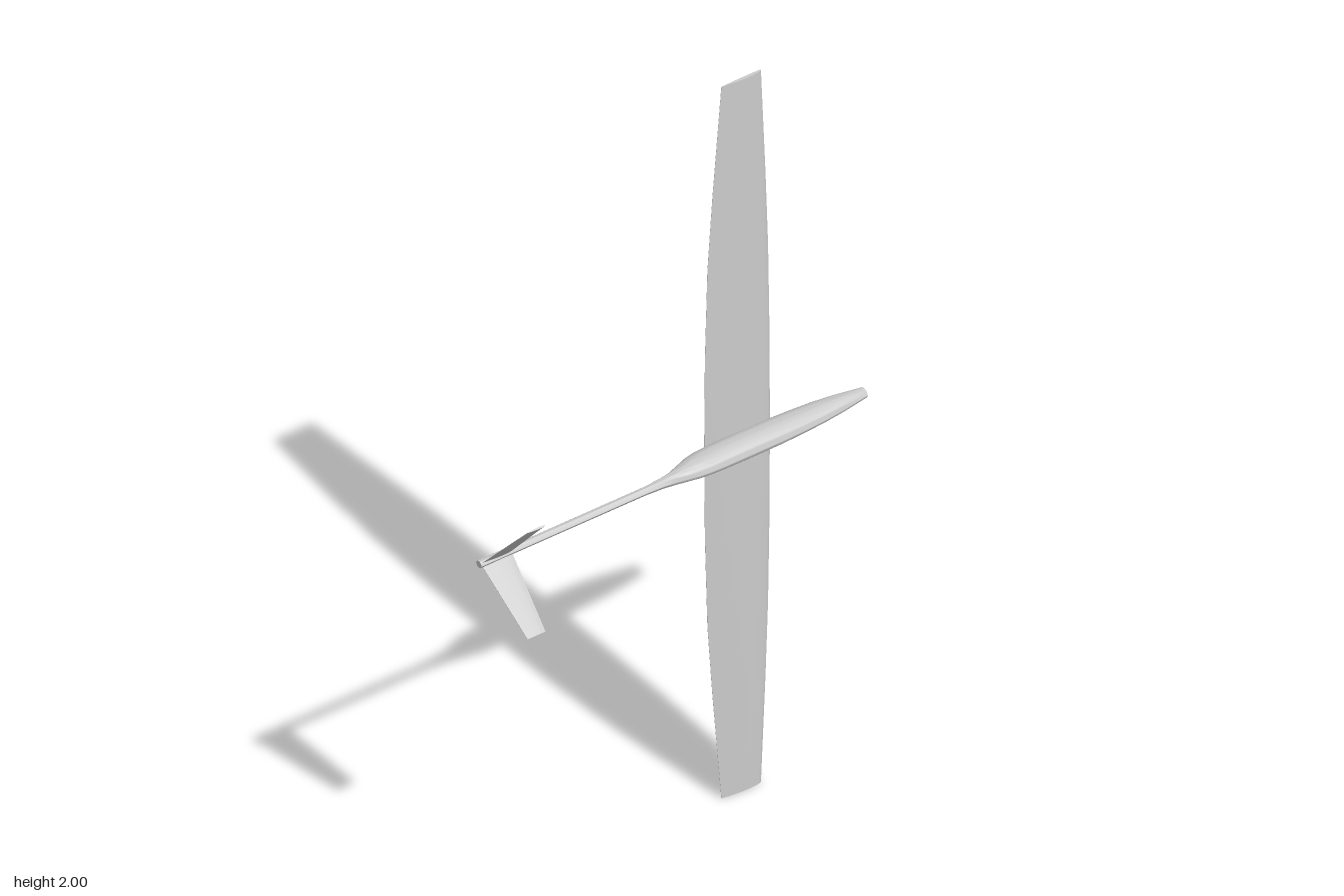
import * as THREE from 'three';
import { toCreasedNormals } from 'three/addons/utils/BufferGeometryUtils.js';

const material = new THREE.MeshStandardMaterial({ color: 0xcccccc });

// Closed skin through rings of equal point count, capped at both ends
function loft(rings, crease) {
  const n = rings[0].length, last = (rings.length - 1) * n, index = [];
  for (let i = 0; i < rings.length - 1; i++) {
    for (let j = 0; j < n; j++) {
      const a = i * n + j, b = i * n + (j + 1) % n;
      index.push(a, b, b + n, a, b + n, a + n);
    }
  }
  for (let j = 1; j < n - 1; j++) {
    index.push(0, j + 1, j, last, last + j, last + j + 1);
  }
  const geometry = new THREE.BufferGeometry();
  geometry.setAttribute('position', new THREE.Float32BufferAttribute(rings.flat(2), 3));
  geometry.setIndex(index);
  return toCreasedNormals(geometry, crease);
}

// Aerofoil section at height y: over the +z side from trailing to leading edge, then back
function section(y, xTrail, xLead, zBase, up, down) {
  const steps = 14, ring = [];
  const shape = (t) => 2.6 * Math.sqrt(t) * (1 - t); // t = 0 at the leading edge
  const point = (t, h) => [xLead + (xTrail - xLead) * t, y, zBase + h];
  const spread = (k) => (1 - Math.cos(Math.PI * k / steps)) / 2;
  for (let k = steps; k >= 0; k--) ring.push(point(spread(k), up * shape(spread(k)) + 0.0004));
  for (let k = 1; k <= steps; k++) ring.push(point(spread(k), -down * shape(spread(k)) - 0.0004));
  return ring;
}

export function createModel() {
  const model = new THREE.Group();
  const add = (name, geometry) => {
    const mesh = new THREE.Mesh(geometry, material);
    mesh.name = name;
    model.add(mesh);
    return mesh;
  };

  // Fuselage pod and tail boom: x, lowest z, highest z, half width in y
  const stations = [
    [-0.54, -0.053, -0.033, 0.009], [-0.3, -0.053, -0.033, 0.009],
    [-0.08, -0.053, -0.033, 0.0095], [-0.03, -0.055, -0.031, 0.012],
    [0, -0.06, -0.027, 0.015], [0.03, -0.071, -0.021, 0.018],
    [0.06, -0.082, -0.015, 0.021], [0.09, -0.088, -0.012, 0.023],
    [0.13, -0.0895, -0.011, 0.025], [0.2, -0.0895, -0.011, 0.026],
    [0.29, -0.0895, -0.011, 0.025], [0.35, -0.088, -0.013, 0.023],
    [0.41, -0.084, -0.017, 0.021], [0.47, -0.076, -0.024, 0.018],
    [0.54, -0.063, -0.035, 0.012],
  ];
  add('fuselage', loft(stations.map(([x, low, high, half]) => {
    const ring = [];
    for (let k = 0; k < 32; k++) {
      const a = k / 32 * Math.PI * 2;
      ring.push([x, 1 + half * Math.cos(a), (low + high) / 2 + (high - low) / 2 * Math.sin(a)]);
    }
    return ring;
  }), 0.9));

  // Wing, mirrored about y = 1: span offset, trailing x, leading x, thickness
  const half = [
    [0, 0.122, 0.305, 0.0125], [0.25, 0.124, 0.304, 0.0122], [0.5, 0.131, 0.3, 0.0115],
    [0.7, 0.145, 0.293, 0.0102], [1, 0.17, 0.28, 0.008],
  ];
  const span = [...half.slice(1).reverse().map(([s, ...rest]) => [-s, ...rest]), ...half];
  add('wing', loft(span.map(([s, trail, lead, t]) =>
    section(1 + s, trail, lead, -0.0875, t * 0.85, t * 0.15)), 0.7));

  // V-tail, two thin tapered fins rising from the boom
  const fin = loft([
    section(0, -0.535, -0.45, 0, 0.003, 0.003),
    section(0.198, -0.5, -0.45, 0, 0.002, 0.002),
  ], 0.7);
  const tilt = Math.atan2(0.13, 0.15);
  for (const [name, angle] of [['upperTailFin', tilt], ['lowerTailFin', Math.PI - tilt]]) {
    const mesh = add(name, fin);
    mesh.position.set(0, 1, -0.042);
    mesh.rotation.x = angle;
  }
  return model;
}
